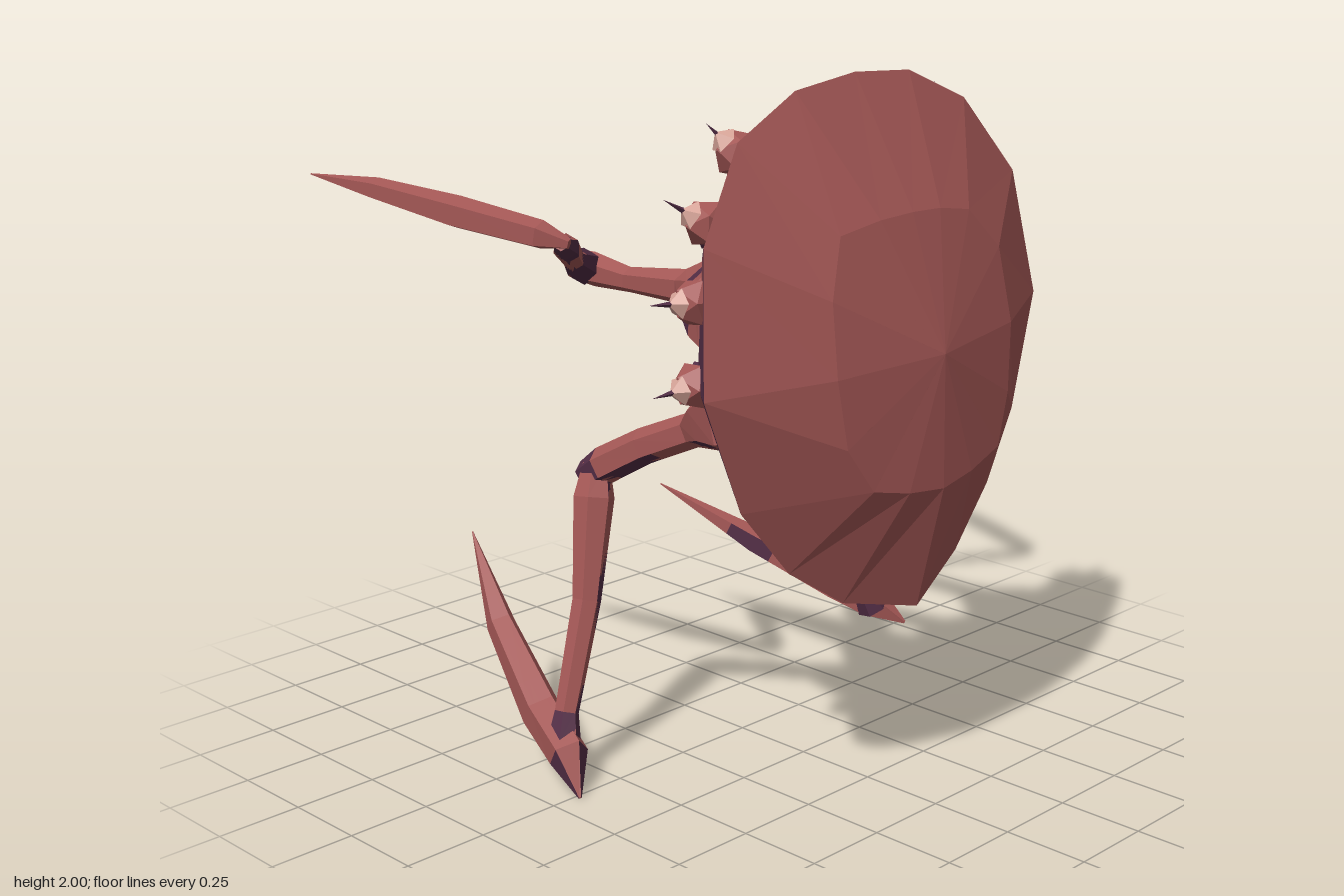
import * as THREE from 'three';

const paint = (name, color) => {
  const m = new THREE.MeshStandardMaterial({ color });
  m.name = name;
  m.flatShading = true;
  return m;
};

// Splits a triangle into four, repeatedly, so colour borders can wander
const split = ([a, b, c, band], depth) => {
  if (!depth) return [[a, b, c, band]];
  const ab = a.clone().lerp(b, 0.5), bc = b.clone().lerp(c, 0.5), ca = c.clone().lerp(a, 0.5);
  return [[a, ab, ca, band], [ab, b, bc, band], [ca, bc, c, band], [ab, bc, ca, band]]
    .flatMap((t) => split(t, depth - 1));
};

// Smooth wavering value, about -1 to 1
const waver = (p) => (Math.sin(p.x * 21 + 1) + Math.sin(p.y * 17 + p.x * 9) + Math.sin(p.z * 23 + p.y * 6)) / 3;

// Collects triangles in two colour groups: 0 red, 1 purple
const facets = (tris, depth, isDark) => {
  const lists = [[], []];
  const n = new THREE.Vector3(), e = new THREE.Vector3(), mid = new THREE.Vector3();
  for (const [a, b, c, band] of tris.flatMap((t) => split(t, depth))) {
    n.subVectors(b, a).cross(e.subVectors(c, a)).normalize();
    mid.copy(a).add(b).add(c).divideScalar(3);
    const list = lists[isDark(n, mid, band) ? 1 : 0];
    for (const p of [a, b, c]) list.push(p.x, p.y, p.z);
  }
  const g = new THREE.BufferGeometry();
  g.setAttribute('position', new THREE.Float32BufferAttribute([...lists[0], ...lists[1]], 3));
  g.addGroup(0, lists[0].length / 3, 0);
  g.addGroup(lists[0].length / 3, lists[1].length / 3, 1);
  g.computeVertexNormals();
  return g;
};

// Joins successive closed rings of points
const skin = (rings) => {
  const tris = [];
  for (let i = 0; i < rings.length - 1; i++) {
    const A = rings[i], B = rings[i + 1], n = A.length;
    for (let k = 0; k < n; k++) {
      const j = (k + 1) % n;
      tris.push([A[k], A[j], B[j], i], [A[k], B[j], B[k], i]);
    }
  }
  return tris;
};

export function createModel() {
  const red = paint('shell red', 0xa35755);
  const purple = paint('dark purple', 0x522d45);
  const pale = paint('pale grey', 0xb6b8b8);
  const pink = paint('pink tip', 0xd6a498);
  const model = new THREE.Group();

  const add = (geometry, material, name, parent = model) => {
    const mesh = new THREE.Mesh(geometry, material);
    mesh.name = name;
    parent.add(mesh);
    return mesh;
  };

  // Shell: rim outline [x, y, z], anticlockwise seen from the front
  const rim = [
    [0.17, 1.99, 0.46], [-0.05, 2.0, 0.46], [-0.29, 1.97, 0.47], [-0.51, 1.86, 0.48],
    [-0.67, 1.62, 0.52], [-0.72, 1.25, 0.57], [-0.58, 0.93, 0.56], [-0.41, 0.73, 0.57],
    [-0.23, 0.61, 0.6], [0.02, 0.55, 0.65], [0.26, 0.64, 0.59], [0.45, 0.79, 0.55],
    [0.57, 0.99, 0.54], [0.67, 1.32, 0.53], [0.59, 1.68, 0.5], [0.39, 1.9, 0.475],
  ];
  const cy = 1.28;
  const ring = (t, depth) => rim.map(([x, y, z]) =>
    new THREE.Vector3(x * t, cy + (y - cy) * t, depth(z)));
  const edge = ring(1, (z) => z);
  // Inner ring is slightly squarish, giving a broad face with bevelled sides
  const inner = rim.map(([x, y]) => {
    const t = 0.22 + 0.21 / Math.max(Math.abs(x), Math.abs(y - cy));
    const py = cy + (y - cy) * t;
    return new THREE.Vector3(x * t, py, 0.46 + (2 - py) * 0.13 + 0.19 * (1 - t * t));
  });
  const front = skin([edge, inner, ring(0.001, () => 0.745)]);
  add(facets(front, 0, () => false), [red, purple], 'frontShell');

  // Back: purple along the rim, low down and around the belly
  const back = skin([
    ring(0.001, () => 0.33), ring(0.32, () => 0.33), ring(0.62, () => 0.35),
    ring(0.88, (z) => (z + 0.35) / 2), edge,
  ]);
  add(facets(back, 3, (n, m) => {
    const w = waver(m), t = Math.hypot(m.x / 0.69, (m.y - cy) / 0.72);
    const lower = Math.max(0, 1.75 - m.y);
    return t > 0.95 - 0.13 * lower + 0.05 * w
      || m.y < 0.92 + 0.08 * w
      || Math.hypot(m.x / 0.34, (m.y - 1.1) / 0.3) < 1 + 0.35 * w;
  }), [red, purple], 'backShell');

  // Limb: faceted tube through [x, y, z, radius]; purple inside, below and on given bands
  const limb = (name, pts, { dark = 0.15, bands = [], sides = 6 } = {}) => {
    const P = pts.map((p) => new THREE.Vector3(p[0], p[1], p[2]));
    const last = P.length - 1;
    const axis = P[last].clone().sub(P[0]).normalize();
    const ref = Math.abs(axis.y) > 0.75 ? new THREE.Vector3(0, 0, 1) : new THREE.Vector3(0, 1, 0);
    const rings = P.map((p, i) => {
      const t = P[Math.min(i + 1, last)].clone().sub(P[Math.max(i - 1, 0)]).normalize();
      const u = ref.clone().cross(t).normalize(), w = t.clone().cross(u);
      return Array.from({ length: sides }, (_, k) => {
        const a = (k + 0.5) / sides * Math.PI * 2;
        return p.clone().addScaledVector(u, Math.cos(a) * pts[i][3]).addScaledVector(w, Math.sin(a) * pts[i][3]);
      });
    });
    const cap = (p) => Array.from({ length: sides }, () => p.clone());
    const tris = skin([cap(P[0]), ...rings, cap(P[last])]);
    const inward = new THREE.Vector3(-Math.sign(pts[0][0]) * 0.8, -0.45, -0.4).normalize();
    add(facets(tris, 2, (n, m, band) =>
      n.dot(inward) > (bands.includes(band) ? -0.8 : dark) + 0.6 * waver(m)), [red, purple], name);
  };

  // Upper limbs: arm and forearm on each side
  for (const [s, x] of [[1, 0.3], [-1, 0.34]]) {
    const label = s > 0 ? 'left' : 'right';
    limb(label + 'UpperArm', [
      [s * x, 1.4, 0.38, 0.15], [s * x, 1.4, 0.32, 0.175], [s * x, 1.4, 0.26, 0.145],
      [s * x, 1.41, 0.21, 0.11], [s * x, 1.42, 0.12, 0.05], [s * x, 1.41, -0.1, 0.036],
      [s * x, 1.42, -0.25, 0.05], [s * x, 1.42, -0.31, 0.045]], { dark: 0.3, bands: [3] });
    const k = s > 0 ? 0.67 : 0.72;
    limb(label + 'Forearm', [
      [s * x, 1.43, -0.32, 0.03], [s * (x + 0.03), 1.43, -0.26, 0.052],
      [s * (x + k) / 2, 1.49, -0.12, 0.03], [s * (k - 0.05), 1.56, 0.01, 0.036],
      [s * k, 1.58, 0.05, 0.02]], { dark: -0.15 });
  }
  limb('leftUpperClaw', [
    [0.66, 1.58, 0.06, 0.015], [0.72, 1.58, 0, 0.04], [0.83, 1.59, -0.3, 0.046],
    [0.92, 1.57, -0.52, 0.03], [0.97, 1.54, -0.7, 0.002]], { dark: 0.85, sides: 5 });
  limb('rightUpperClaw', [
    [-0.71, 1.58, 0.07, 0.015], [-0.75, 1.6, 0, 0.04], [-0.83, 1.64, -0.24, 0.046],
    [-0.91, 1.685, -0.48, 0.032], [-0.97, 1.71, -0.69, 0.002]], { dark: 0.85, sides: 5 });

  // Lower limbs: thigh, shin and foot claw on each side
  for (const [s, x] of [[1, 0.28], [-1, 0.33]]) {
    limb((s > 0 ? 'left' : 'right') + 'Thigh', [
      [s * x, 1.11, 0.39, 0.1], [s * x, 1.1, 0.31, 0.13], [s * x, 1.06, 0.2, 0.085],
      [s * x, 1.02, 0.13, 0.05], [s * (x + 0.03), 0.95, -0.03, 0.052],
      [s * (x + 0.06), 0.87, -0.17, 0.055], [s * (x + 0.07), 0.83, -0.23, 0.045]], { dark: 0, bands: [6] });
  }
  limb('leftShin', [
    [0.35, 0.87, -0.2, 0.04], [0.38, 0.78, -0.18, 0.06], [0.53, 0.5, -0.14, 0.042],
    [0.68, 0.23, -0.11, 0.035], [0.71, 0.17, -0.1, 0.05]], { bands: [4] });
  limb('rightShin', [
    [-0.39, 0.87, -0.2, 0.04], [-0.42, 0.78, -0.18, 0.06], [-0.49, 0.5, -0.14, 0.042],
    [-0.6, 0.2, -0.11, 0.035], [-0.63, 0.12, -0.09, 0.05]], { bands: [4] });
  limb('leftFootClaw', [
    [0.78, 0.12, -0.02, 0.005], [0.73, 0.18, -0.12, 0.06], [0.66, 0.24, -0.22, 0.062],
    [0.53, 0.36, -0.46, 0.045], [0.37, 0.53, -0.74, 0.002]], { dark: 0.9, sides: 5 });
  limb('rightFootClaw', [
    [-0.67, 0, 0.02, 0.005], [-0.64, 0.1, -0.06, 0.06], [-0.6, 0.17, -0.22, 0.062],
    [-0.53, 0.35, -0.48, 0.045], [-0.46, 0.57, -0.69, 0.002]], { dark: 0.9, sides: 5, bands: [1] });

  // Rim knobs, each with a purple base, pink nub and thin spike: [knob x, y, z, spike tip x, y, z]
  const knobs = [
    [0.33, 1.83, 0.4, 0.39, 1.94, 0.37], [0.5, 1.69, 0.42, 0.59, 1.79, 0.4],
    [0.57, 1.53, 0.44, 0.67, 1.54, 0.4], [0.61, 1.32, 0.45, 0.72, 1.32, 0.39],
    [-0.44, 1.82, 0.41, -0.52, 1.9, 0.38], [-0.57, 1.66, 0.43, -0.69, 1.73, 0.4],
    [-0.63, 1.47, 0.45, -0.77, 1.48, 0.43], [-0.64, 1.26, 0.46, -0.78, 1.25, 0.45],
  ];
  for (const [x, y, z, tx, ty, tz] of knobs) {
    const g = new THREE.Group();
    g.name = 'rimKnob';
    g.position.set(x, y, z);
    const dir = new THREE.Vector3(tx - x, ty - y, tz - z), len = dir.length();
    g.quaternion.setFromUnitVectors(new THREE.Vector3(0, 1, 0), dir.normalize());
    add(new THREE.IcosahedronGeometry(0.065, 0), red, 'knob', g);
    add(new THREE.IcosahedronGeometry(0.062, 0), purple, 'knobBase', g).position.y = -0.03;
    add(new THREE.ConeGeometry(0.04, 0.035, 5), pink, 'nub', g).position.y = 0.066;
    add(new THREE.ConeGeometry(0.011, len - 0.05, 4), purple, 'spike', g).position.y = (len + 0.05) / 2;
    model.add(g);
  }

  // Pale belly plate with a small lip above it
  const belly = add(new THREE.ConeGeometry(0.19, 0.07, 7), pale, 'bellyPlate');
  belly.rotation.x = -Math.PI / 2;
  belly.position.set(-0.01, 1.1, 0.305);
  const lip = add(new THREE.IcosahedronGeometry(0.05, 0), red, 'bellyLip');
  lip.position.set(-0.02, 1.35, 0.33);

  // Low eyes: purple sockets with flat pale caps facing out, down and back
  for (const s of [1, -1]) {
    for (const [x, y, z, r, dz] of [[0.08, 0.77, 0.385, 0.075, -0.4], [0.09, 0.67, 0.53, 0.06, 0.3]]) {
      const socket = add(new THREE.IcosahedronGeometry(r, 0), purple, 'eyeSocket');
      socket.position.set(s * x, y, z);
      const dir = new THREE.Vector3(s * 0.7, -0.6, dz).normalize();
      const eye = add(new THREE.CylinderGeometry(r * 0.55, r * 0.7, r * 0.4, 7), pale, 'eye');
      eye.position.copy(socket.position).addScaledVector(dir, r * 0.78);
      eye.quaternion.setFromUnitVectors(new THREE.Vector3(0, 1, 0), dir);
    }
  }
  return model;
}
